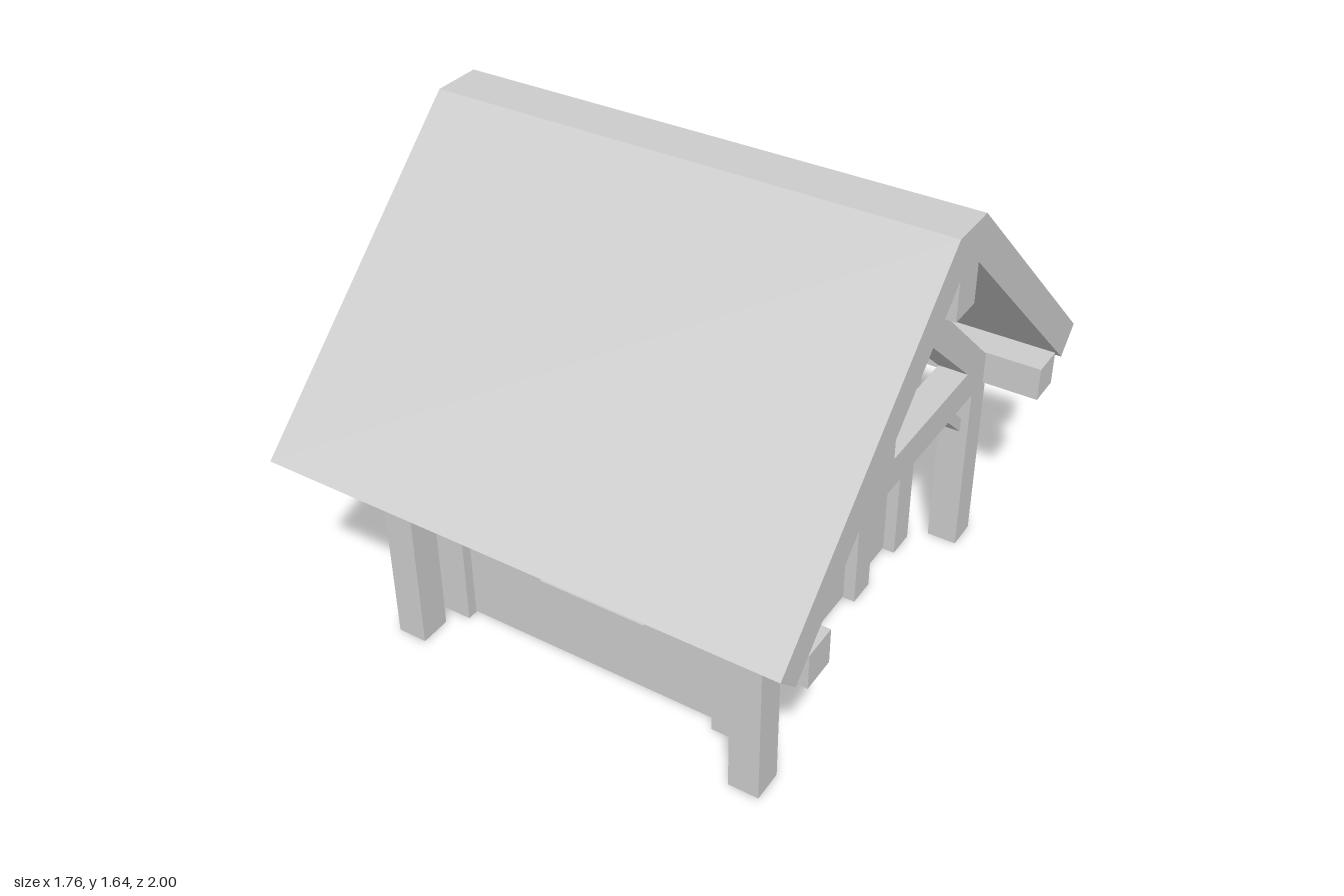
import * as THREE from 'three';

export function createModel() {
  const model = new THREE.Group();
  const grey = new THREE.MeshStandardMaterial({ color: 0xcccccc });
  grey.name = 'plain grey';

  const add = (name, geometry) => {
    const mesh = new THREE.Mesh(geometry, grey);
    mesh.name = name;
    model.add(mesh);
    return mesh;
  };
  // Box given by its limits on each axis
  const box = (name, x0, x1, y0, y1, z0, z1) => {
    const g = new THREE.BoxGeometry(x1 - x0, y1 - y0, z1 - z0);
    g.translate((x0 + x1) / 2, (y0 + y1) / 2, (z0 + z1) / 2);
    return add(name, g);
  };
  const toShape = (pts) => new THREE.Shape(pts.map(([a, b]) => new THREE.Vector2(a, b)));
  // Profile in the (z, y) plane, extruded along x
  const profile = (name, pts, x0, x1, holes = []) => {
    const shape = toShape(pts.map(([z, y]) => [-z, y]));
    shape.holes = holes.map((h) => toShape(h.map(([z, y]) => [-z, y])));
    const g = new THREE.ExtrudeGeometry(shape, { depth: x1 - x0, bevelEnabled: false });
    g.rotateY(Math.PI / 2);
    g.translate(x0, 0, 0);
    return add(name, g);
  };
  const mirror = (pts) => pts.map(([z, y]) => [-z, y]);
  const bothSides = (name, pts, x0, x1) => {
    profile(name, pts, x0, x1);
    profile(name, mirror(pts), x0, x1);
  };

  // Roof slab with a flat ridge
  const roofHalf = [[0.085, 1.645], [1, 0.79], [0.915, 0.705], [0.06, 1.504]];
  profile('roof', [...roofHalf, ...mirror(roofHalf).reverse()], -0.88, 0.88);
  box('ridgeBeam', -0.88, 0.88, 1.37, 1.51, -0.06, 0.06);
  for (const s of [-1, 1]) {
    const z = s * 0.785;
    box('eavePlate', -0.88, 0.88, 0.64, 0.76, z - 0.06, z + 0.06);
  }

  // Outer trusses on corner posts
  const trussHalf = [[0.06, 1.37], [0.72, 0.76], [0.745, 0.755], [0.745, 0.64]];
  const opening = [[0.045, 1.235], [0.58, 0.755], [0.045, 0.755]];
  for (const [x0, x1] of [[0.58, 0.685], [-0.69, -0.585]]) {
    profile('truss', [...trussHalf, ...mirror(trussHalf).reverse()], x0, x1,
      [opening, mirror(opening)]);
    for (const s of [-1, 1]) {
      const z = s * 0.69;
      box('outerPost', x0, x1, 0, 0.64, z - 0.055, z + 0.055);
    }
    const xm = (x0 + x1) / 2;
    bothSides('kneeBrace', [[0.635, 0.48], [0.635, 0.535], [0.52, 0.64], [0.465, 0.64]],
      xm - 0.025, xm + 0.025);
  }

  // Inner gable frames
  for (const [x0, x1, out] of [[0.42, 0.525, 1], [-0.635, -0.53, -1]]) {
    const xm = (x0 + x1) / 2;
    for (const zc of [-0.5275, -0.2275, 0.2275, 0.5275]) {
      box('wallPost', x0, x1, 0, 0.77, zc - 0.0525, zc + 0.0525);
    }
    box('tieBeam', x0, x1, 0.765, 0.9, -0.665, 0.665);
    box('kingPost', x0, x1, 0.9, 1.38, -0.045, 0.045);
    bothSides('rafter', [[0.06, 1.5], [0.785, 0.825], [0.725, 0.76], [0.06, 1.37]], x0, x1);
    bothSides('innerRafter', [[0.04, 1.39], [0.57, 0.9], [0.42, 0.9], [0.04, 1.24]], x0, x1);
    bothSides('strut', [[0.045, 0.95], [0.18, 1.12], [0.24, 1.06], [0.11, 0.9], [0.045, 0.9]],
      x0 + 0.015, x1 - 0.015);
    profile('gablePanel', [[-0.55, 0.89], [0, 1.38], [0.55, 0.89]], xm - 0.01, xm + 0.01);
    box('endWall', xm - 0.01, xm + 0.01, 0.005, 0.77, -0.53, 0.53);
    // Raised upper panel between the middle posts
    const xa = xm, xb = xm + out * 0.03;
    box('upperPanel', Math.min(xa, xb), Math.max(xa, xb), 0.4, 0.765, -0.175, 0.175);
  }

  // Long walls with a recessed window
  const wall = toShape([[-0.58, 0.005], [0.47, 0.005], [0.47, 0.6], [-0.58, 0.6]]);
  wall.holes.push(toShape([[-0.25, 0.27], [-0.25, 0.55], [0.15, 0.55], [0.15, 0.27]]));
  for (const s of [-1, 1]) {
    const g = new THREE.ExtrudeGeometry(wall, { depth: 0.03, bevelEnabled: false });
    g.translate(0, 0, s * 0.5275 - 0.015);
    add('longWall', g);
    const z = s * 0.5275;
    box('windowPane', -0.26, 0.16, 0.26, 0.56, z - 0.004, z + 0.004);
  }

  // Ceiling slab, slightly proud of the walls
  box('ceiling', -0.605, 0.495, 0.58, 0.765, -0.555, 0.555);

  return model;
}
